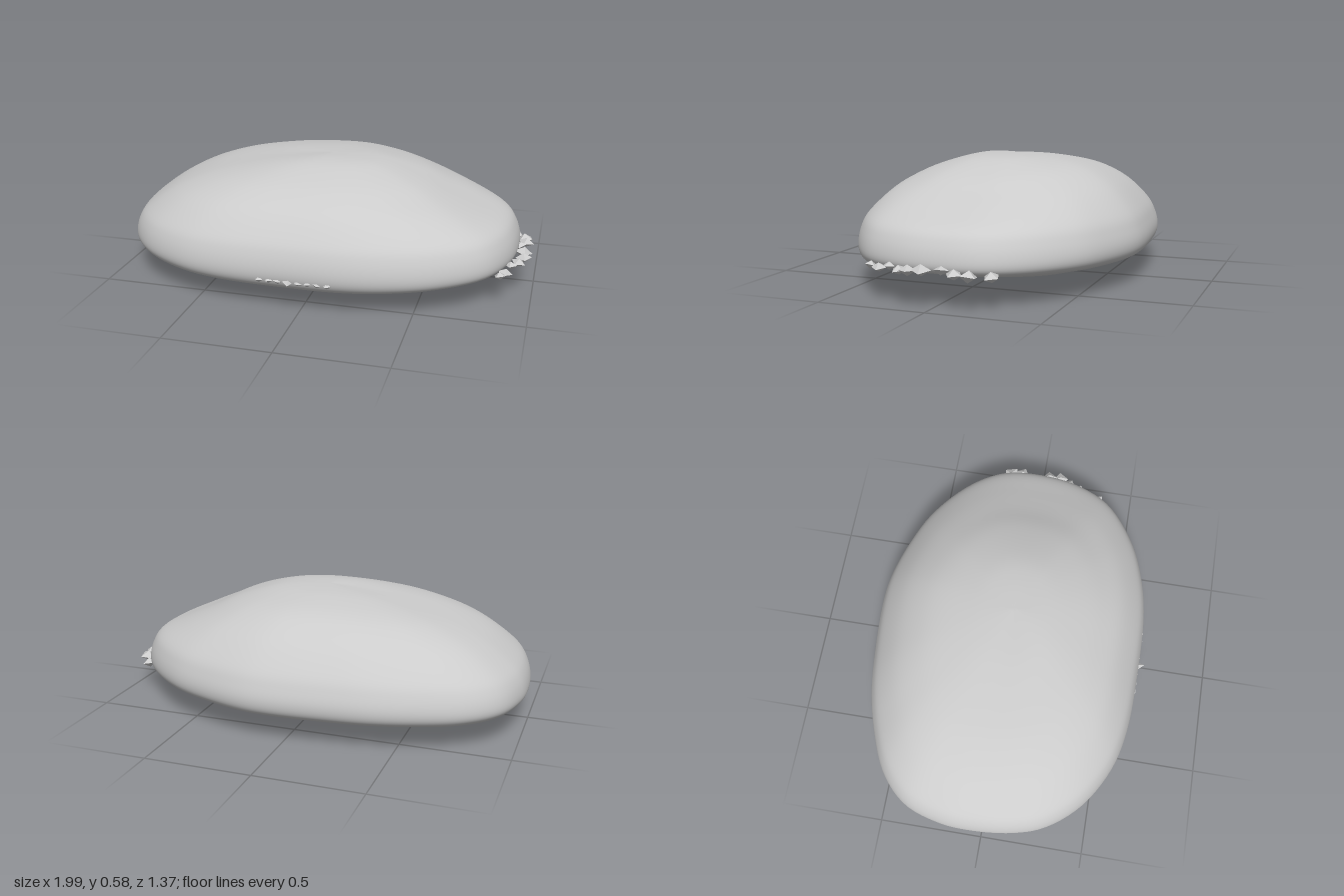
import * as THREE from 'three';

// Plan outline of the rim as [x, z], starting at the right-hand end and going round the back
const OUTLINE = [
  [0.92, 0], [0.9, -0.2], [0.8, -0.37], [0.6, -0.54], [0.4, -0.63], [0.2, -0.685], [0.05, -0.695],
  [-0.2, -0.68], [-0.4, -0.655], [-0.6, -0.6], [-0.8, -0.51], [-0.93, -0.38], [-0.99, -0.2],
  [-1, -0.05], [-0.98, 0.15], [-0.93, 0.3], [-0.8, 0.46], [-0.6, 0.58], [-0.4, 0.63],
  [-0.1, 0.645], [0.2, 0.64], [0.4, 0.605], [0.6, 0.53], [0.8, 0.38], [0.89, 0.2],
];

// Cross-section: fractions of the outline from crown to base, with heights along four directions
const SPREAD = [0, 0.15, 0.3, 0.5, 0.65, 0.8, 0.93, 0.98, 1, 0.985, 0.93, 0.8, 0.65, 0.5, 0.3, 0.15, 0];
const HEIGHTS = {
  right: [0.58, 0.578, 0.56, 0.5, 0.435, 0.375, 0.32, 0.26, 0.19, 0.15, 0.133, 0.11, 0.08, 0.05, 0.02, 0.008, 0.002],
  left: [0.58, 0.567, 0.547, 0.507, 0.465, 0.4, 0.31, 0.25, 0.18, 0.14, 0.112, 0.092, 0.078, 0.057, 0.027, 0.01, 0.002],
  front: [0.58, 0.58, 0.567, 0.53, 0.49, 0.43, 0.335, 0.27, 0.2, 0.145, 0.11, 0.075, 0.045, 0.024, 0.012, 0.005, 0.002],
  back: [0.58, 0.576, 0.566, 0.54, 0.5, 0.43, 0.33, 0.26, 0.2, 0.15, 0.12, 0.09, 0.055, 0.025, 0.006, 0.003, 0.002],
};

function seeded(seed) {
  return () => (seed = (seed * 16807) % 2147483647) / 2147483647;
}

function bodyGeometry(around = 128, down = 80) {
  const rim = new THREE.CatmullRomCurve3(OUTLINE.map(([x, z]) => new THREE.Vector3(x, 0, z)), true);
  const sections = {};
  for (const side in HEIGHTS) {
    sections[side] = new THREE.SplineCurve(SPREAD.map((s, i) => new THREE.Vector2(s, HEIGHTS[side][i])));
  }
  const positions = [];
  const indices = [];
  for (let j = 0; j <= down; j++) {
    const rows = {};
    for (const side in sections) rows[side] = sections[side].getPoint(j / down);
    const spread = j === 0 || j === down ? 0 : rows.right.x;
    for (let i = 0; i < around; i++) {
      const p = rim.getPoint(i / around);
      // Blend the lengthwise and crosswise sections by direction
      const a = Math.atan2(p.z / 0.67, p.x / 0.96);
      const w = Math.cos(a) ** 2;
      const y = w * (p.x > 0 ? rows.right.y : rows.left.y) + (1 - w) * (p.z > 0 ? rows.front.y : rows.back.y);
      positions.push(p.x * spread, Math.max(0, y), p.z * spread);
      if (j < down) {
        const k = (i + 1) % around;
        const A = j * around + i, B = j * around + k, C = A + around, D = B + around;
        if (j > 0) indices.push(A, C, B);
        if (j < down - 1) indices.push(B, C, D);
      }
    }
  }
  const geometry = new THREE.BufferGeometry();
  geometry.setAttribute('position', new THREE.Float32BufferAttribute(positions, 3));
  geometry.setIndex(indices);
  geometry.computeVertexNormals();
  // Poles: all copies share one straight normal
  const n = geometry.attributes.normal;
  for (let i = 0; i < around; i++) {
    n.setXYZ(i, 0, 1, 0);
    n.setXYZ(down * around + i, 0, -1, 0);
  }
  return geometry;
}

export function createModel() {
  const group = new THREE.Group();
  group.name = 'pebble';
  const smooth = new THREE.MeshStandardMaterial({ color: 0xcccccc });
  const rough = new THREE.MeshStandardMaterial({ color: 0xcccccc, flatShading: true });

  const body = new THREE.Mesh(bodyGeometry(), smooth);
  body.name = 'body';
  group.add(body);

  // Jagged crumbs clinging to the rim
  const crumbs = new THREE.Group();
  crumbs.name = 'rimCrumbs';
  group.add(crumbs);
  const random = seeded(77);
  function addCrumb(x, y, z, sx, sy, sz) {
    const crumb = new THREE.Mesh(new THREE.OctahedronGeometry(1), rough);
    crumb.name = 'crumb';
    crumb.position.set(x, y, z);
    crumb.scale.set(sx, sy, sz);
    crumb.rotation.y = (random() - 0.5) * 1.2;
    crumb.rotation.z = (random() - 0.5) * 0.5;
    crumbs.add(crumb);
  }
  // Right-hand end: [x, z, size]
  const endCrumbs = [
    [0.89, -0.25, 0.04], [0.94, -0.17, 0.045], [0.95, -0.11, 0.04], [0.92, -0.04, 0.035], [0.945, 0.04, 0.045],
    [0.95, 0.1, 0.04], [0.93, 0.15, 0.035], [0.9, 0.21, 0.03], [0.88, 0.27, 0.035], [0.86, 0.32, 0.03],
  ];
  for (const [x, z, s] of endCrumbs) addCrumb(x, 0.155 + (random() - 0.5) * 0.02, z, s, s * 0.6, s);
  // Front edge
  for (let i = 0; i < 8; i++) {
    addCrumb(-0.18 + i * 0.045, 0.155, 0.635, 0.025, 0.014, i === 3 ? 0.045 : 0.018);
  }
  return group;
}
